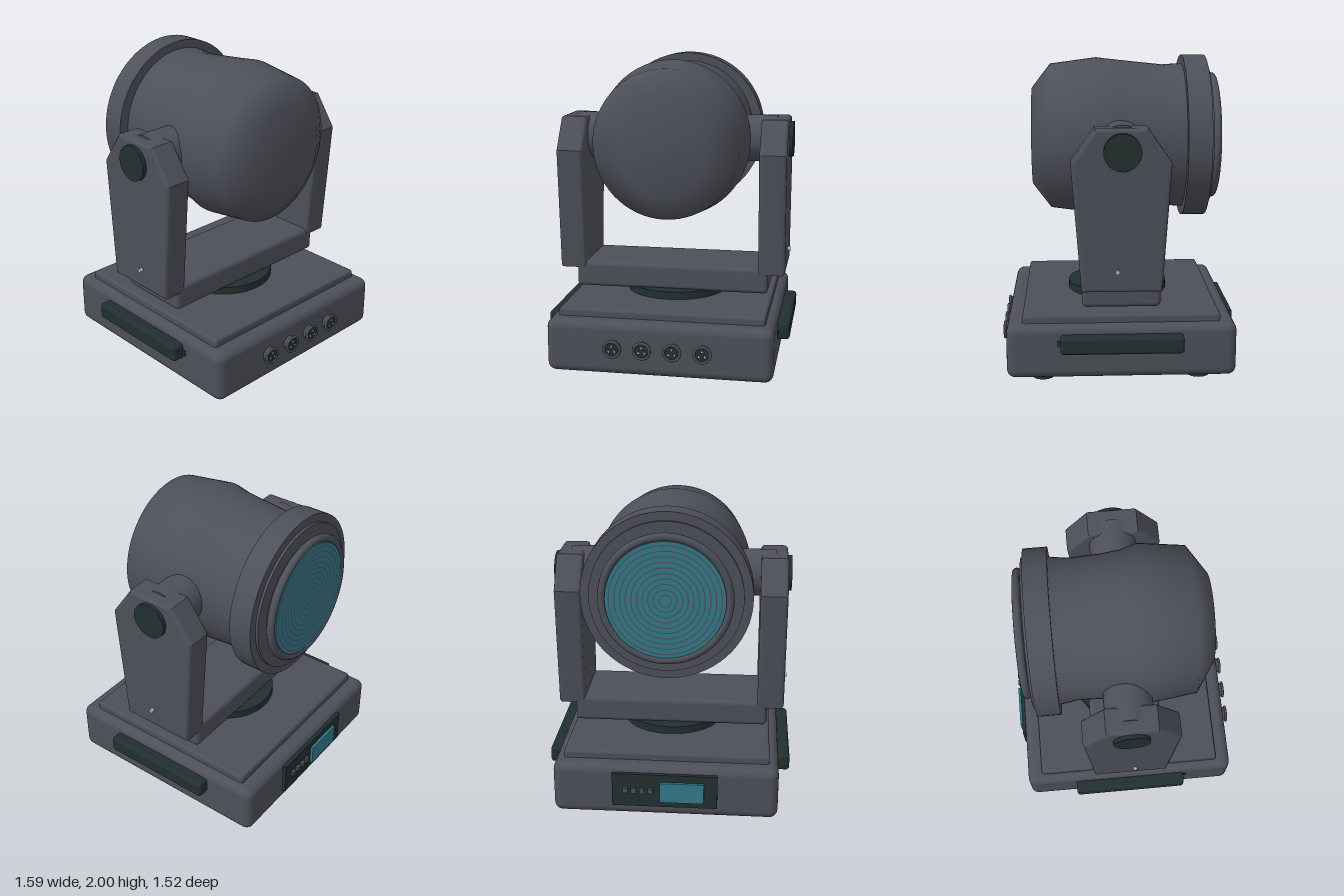
import * as THREE from 'three';
import { RoundedBoxGeometry } from 'three/addons/geometries/RoundedBoxGeometry.js';

const mat = (name, color, side = THREE.FrontSide) => {
  const m = new THREE.MeshStandardMaterial({ color, side });
  m.name = name;
  return m;
};

export function createModel() {
  const body = mat('charcoal housing', 0x4d5059);
  const dark = mat('black rubber', 0x22302f);
  const teal = mat('teal glass', 0x34798a);
  const metal = mat('pale metal', 0xa9c4c4);

  const model = new THREE.Group();
  model.name = 'movingHeadLight';

  const add = (name, geo, material, x = 0, y = 0, z = 0, parent = model) => {
    const mesh = new THREE.Mesh(geo, material);
    mesh.name = name;
    mesh.position.set(x, y, z);
    parent.add(mesh);
    return mesh;
  };
  const rbox = (w, h, d, r) => new RoundedBoxGeometry(w, h, d, 3, r);
  const box = (w, h, d) => new THREE.BoxGeometry(w, h, d);
  const cylY = (r, h, n = 32) => new THREE.CylinderGeometry(r, r, h, n);
  const cylX = (r, h, n = 32) => cylY(r, h, n).rotateZ(Math.PI / 2);
  const cylZ = (r, h, n = 32) => cylY(r, h, n).rotateX(Math.PI / 2);

  // Base
  add('baseHousing', rbox(1.44, 0.345, 1.44, 0.055), body, 0, 0.2125, 0);
  add('baseTopPlate', rbox(1.32, 0.1, 1.24, 0.018), body, 0, 0.385, 0);
  add('turntable', cylY(0.33, 0.06, 48), dark, 0, 0.455, 0);
  for (const x of [-0.55, 0.55]) for (const z of [-0.495, 0.495])
    add('foot', cylY(0.07, 0.06, 24), dark, x, 0.03, z);

  // Carrying handles on both sides of the base
  for (const s of [-1, 1]) {
    add('sideHandle', rbox(0.1, 0.11, 0.765, 0.022), dark, s * 0.747, 0.275, 0);
    add('handleTab', box(0.03, 0.04, 0.03), dark, s * 0.71, 0.27, 0.39);
  }

  // Round sockets on the front
  const rim = new THREE.TorusGeometry(0.051, 0.009, 8, 32);
  for (const x of [-0.285, -0.095, 0.095, 0.285]) {
    const socket = new THREE.Group();
    socket.name = 'socket';
    socket.position.set(x, 0.222, 0.72);
    model.add(socket);
    add('socketBody', cylZ(0.05, 0.03), body, 0, 0, 0.012, socket);
    add('socketRim', rim, body, 0, 0, 0.031, socket);
    add('socketFace', cylZ(0.045, 0.008), dark, 0, 0, 0.03, socket);
    for (let i = 0; i < 3; i++) {
      const a = Math.PI * (0.5 + i * 2 / 3);
      add('socketPin', cylZ(0.006, 0.006, 8), metal, 0.022 * Math.cos(a), 0.022 * Math.sin(a), 0.036, socket);
    }
  }

  // Control panel on the back
  add('controlPanel', box(0.67, 0.225, 0.03), dark, 0, 0.232, -0.727);
  add('displayScreen', box(0.28, 0.135, 0.02), teal, -0.11, 0.228, -0.75);
  for (let i = 0; i < 4; i++)
    add('panelButton', box(0.033, 0.035, 0.02), body, 0.09 + i * 0.053, 0.235, -0.75);

  // Yoke: crossbar and two tapered arms with clipped top corners
  add('yokeCrossbar', rbox(1.28, 0.17, 0.49, 0.03), body, 0, 0.56, 0);
  const armShape = new THREE.Shape([
    [-0.245, 0.605], [0.25, 0.605], [0.312, 1.4], [0.165, 1.61], [-0.155, 1.61], [-0.3, 1.4],
  ].map(([z, y]) => new THREE.Vector2(z, y)));
  const bevel = 0.022;
  const armGeo = new THREE.ExtrudeGeometry(armShape, {
    depth: 0.175 - 2 * bevel, bevelSize: bevel, bevelThickness: bevel, bevelOffset: -bevel, bevelSegments: 3,
  }).translate(0, 0, bevel - 0.0875).rotateY(-Math.PI / 2);
  for (const s of [-1, 1]) {
    add('yokeArm', armGeo, body, s * 0.6625, 0, 0);
    add('tiltAxle', cylX(0.153, 0.25, 40), body, s * 0.545, 1.47, 0);
    add('axleCap', cylX(0.115, 0.04), dark, s * 0.755, 1.47, 0);
    add('armScrew', cylX(0.014, 0.03, 10), metal, s * 0.755, 0.737, 0.03);
  }

  // Lamp head, axis along z
  const head = new THREE.Group();
  head.name = 'lampHead';
  head.position.y = 1.47;
  model.add(head);

  // Shell: lathe from rear to front, squeezed sideways between the arms [z, half height, half width]
  const sections = [
    [-0.43, 0.476, 0.467], [-0.3, 0.467, 0.446], [-0.1, 0.488, 0.452], [0.03, 0.502, 0.467],
    [0.14, 0.515, 0.505], [0.44, 0.475, 0.467], [0.56, 0.32, 0.285], [0.56, 0, 0],
  ];
  const shell = new THREE.LatheGeometry(sections.map(([z, r]) => new THREE.Vector2(r, z)), 64).rotateX(Math.PI / 2);
  const pos = shell.attributes.position;
  for (let i = 0; i < pos.count; i++) {
    const [, h, w] = sections[i % sections.length];
    if (h > 0) pos.setX(i, pos.getX(i) * w / h);
  }
  add('headShell', shell, body, 0, 0, 0, head);

  // Front ring, bezel and lens, facing -z
  add('lensHood', cylZ(0.53, 0.15, 64), body, 0, 0, -0.495, head);
  add('hoodStep', cylZ(0.475, 0.03, 64), body, 0, 0, -0.572, head);
  add('lensMount', cylZ(0.385, 0.05, 64), body, 0, 0, -0.6, head);
  add('lensBezel', new THREE.TorusGeometry(0.39, 0.025, 12, 64), body, 0, 0, -0.621, head);
  add('lens', cylZ(0.368, 0.02, 64), teal, 0, 0, -0.634, head);
  for (let i = 1; i <= 10; i++) {
    const r = i * 0.034;
    add('lensRidge', new THREE.RingGeometry(r, r + 0.007, 48).rotateY(Math.PI), body, 0, 0, -0.646, head);
  }

  return model;
}
